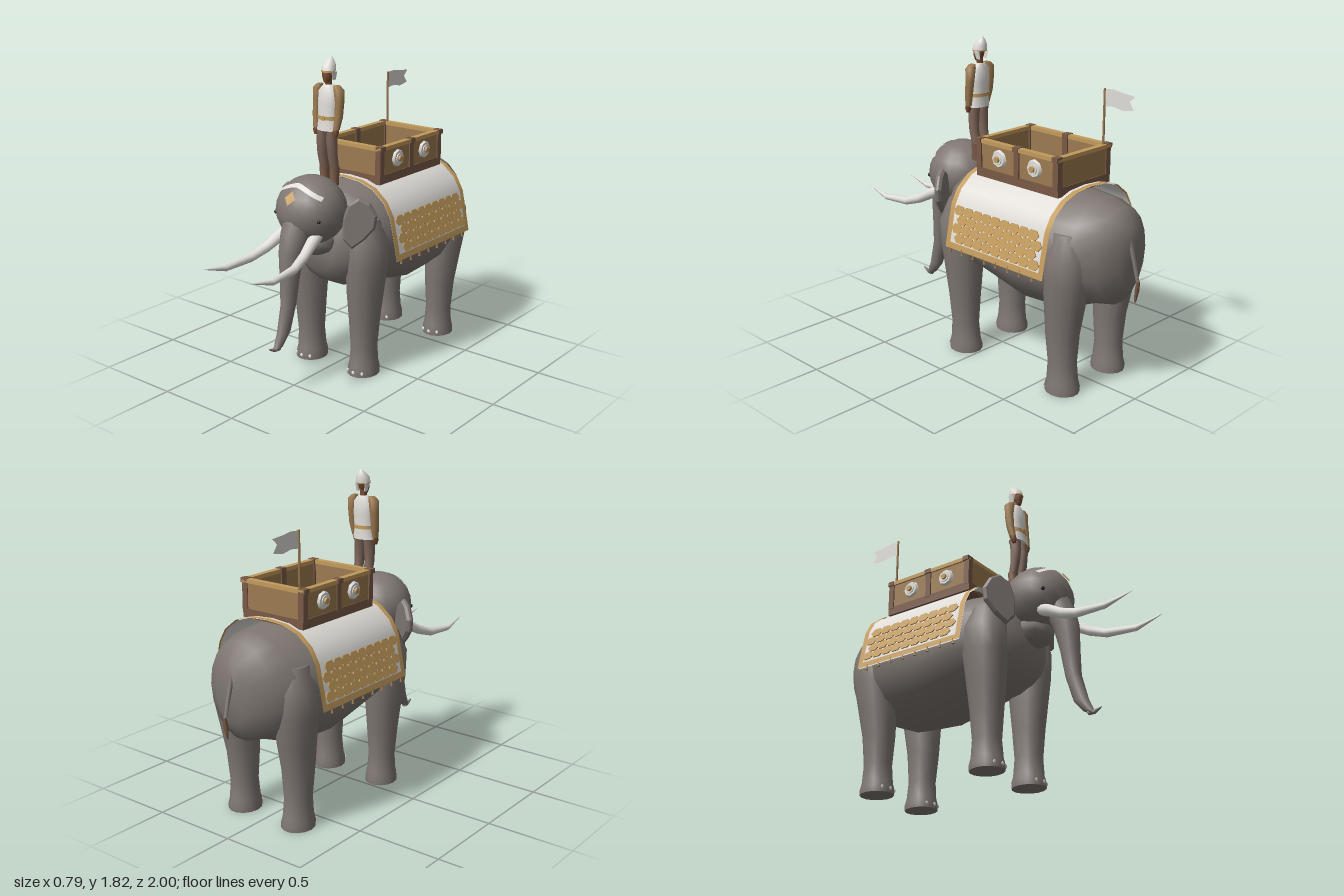
import * as THREE from 'three';
import { toCreasedNormals } from 'three/addons/utils/BufferGeometryUtils.js';

const paint = (name, color, side = THREE.FrontSide) => {
  const m = new THREE.MeshStandardMaterial({ color, side });
  m.name = name;
  return m;
};

export function createModel() {
  const hide = paint('grey hide', 0x7f7772), white = paint('white', 0xe0ddd8, THREE.DoubleSide);
  const gold = paint('gold', 0xc39b5c, THREE.DoubleSide), wood = paint('light wood', 0x9c7a50);
  const brown = paint('dark wood', 0x7a5a47), cloth = paint('trouser cloth', 0x7d6559);
  const skin = paint('rider skin', 0x75492f), dark = paint('eye', 0x2a2523);
  const model = new THREE.Group();
  model.name = 'elephantWithRider';
  const group = (name, parent = model) => {
    const g = new THREE.Group();
    g.name = name;
    parent.add(g);
    return g;
  };
  const add = (name, geo, mat, pos = [0, 0, 0], parent = model) => {
    const m = new THREE.Mesh(geo, mat);
    m.name = name;
    m.position.set(...pos);
    parent.add(m);
    return m;
  };
  const build = (verts, faces) => {
    const g = new THREE.BufferGeometry();
    g.setAttribute('position', new THREE.Float32BufferAttribute(verts.flat(), 3));
    g.setIndex(faces);
    g.computeVertexNormals();
    return g;
  };
  // Closed skin over elliptical rings [x, y, z, ra, rb], ascending along axis 'y' or 'z'
  const loft = (axis, rings, n = 14) => {
    const v = [], f = [];
    rings.forEach(([x, y, z, a, b = a]) => {
      for (let j = 0; j < n; j++) {
        const t = (j / n) * Math.PI * 2, c = a * Math.cos(t), s = b * Math.sin(t);
        v.push(axis === 'z' ? [x + c, y + s, z] : [x + c, y, z - s]);
      }
    });
    const end = rings.length - 1, c0 = v.length;
    v.push(rings[0].slice(0, 3), rings[end].slice(0, 3));
    for (let j = 0; j < n; j++) {
      const k = (j + 1) % n;
      for (let i = 0; i < end; i++) {
        const a = i * n + j, b = i * n + k;
        f.push(a, b, a + n, b, b + n, a + n);
      }
      f.push(c0, k, j, c0 + 1, end * n + j, end * n + k);
    }
    return toCreasedNormals(build(v, f), 1.0);
  };
  // Ribbon between two rows of points
  const strip = (a, b) => {
    const f = [], n = a.length;
    for (let i = 0; i < n - 1; i++) f.push(n + i, n + i + 1, i, n + i + 1, i + 1, i);
    return build([...a, ...b], f);
  };
  const box = (w, h, d) => new THREE.BoxGeometry(w, h, d);
  const ball = (r) => new THREE.SphereGeometry(r, 10, 8);
  const both = (fn) => [1, -1].forEach(fn);

  // Body
  add('body', loft('z', [
    [0, .8, -.94, .1, .17], [0, .79, -.87, .21, .27], [0, .79, -.75, .29, .295], [0, .76, -.58, .335, .335],
    [0, .76, -.34, .34, .35], [0, .79, -.02, .325, .305], [0, .79, .12, .3, .29],
    [0, .8, .22, .23, .25], [0, .75, .29, .12, .12]], 18), hide);

  // Legs and toenails
  both((s) => {
    [['frontLeg', .11, 0], ['backLeg', -.65, -.03]].forEach(([name, z, lean]) => {
      add(name, loft('y', [
        [s * .195, 0, z, .09, .1], [s * .195, .03, z, .09, .102], [s * .195, .07, z, .082, .09],
        [s * .197, .17, z, .076, .082], [s * .2, .34, z, .088, .097],
        [s * .205, .5, z + lean / 2, .103, .115], [s * .215, .66, z + lean, .115, .13],
        [s * .22, .8, z + lean, .115, .135], [s * .2, .93, z + lean, .08, .09]]), hide);
      [-.05, 0, .05].forEach((dx) => {
        const nail = add('toenail', ball(.011), white,
          [s * .195 + dx, .025, z + .1 * Math.sqrt(1 - (dx / .09) ** 2)]);
        nail.scale.z = .45;
      });
    });
  });

  // Head, jaw and trunk
  const head = add('head', new THREE.SphereGeometry(1, 18, 12), hide, [0, 1, .33]);
  head.scale.set(.2, .192, .195);
  add('jaw', ball(1), hide, [0, .82, .29]).scale.set(.12, .09, .12);
  add('trunk', loft('y', [
    [0, .265, .645, .014, .018], [0, .285, .62, .023, .03], [0, .35, .578, .032, .043],
    [0, .5, .535, .042, .046], [0, .65, .52, .055, .056], [0, .8, .5, .07, .075],
    [0, .9, .46, .085, .09], [0, 1.02, .41, .09, .09]]), hide);
  add('trunkFinger', loft('z', [[0, .275, .62, .018], [0, .27, .655, .012], [0, .287, .695, .004]], 8), hide);

  // Tusks, ears and eyes
  both((s) => {
    add('tusk', loft('z', [
      [s * .1, .895, .39, .035], [s * .115, .86, .47, .036], [s * .135, .81, .56, .03],
      [s * .155, .775, .66, .025], [s * .168, .762, .84, .017], [s * .165, .8, 1, .001]], 10), white);
    const e = [[0, .02], [.03, .1], [.09, .14], [.15, .11], [.19, .04], [.18, -.03], [.12, -.1], [.05, -.155], [0, -.1]];
    const shape = new THREE.Shape(e.map(([x, y]) => new THREE.Vector2(s * x, y)));
    const ear = add('ear', new THREE.ExtrudeGeometry(shape,
      { depth: .012, bevelThickness: .014, bevelSize: .012, bevelOffset: -.012, bevelSegments: 1 }), hide,
    [s * .175, .95, .275]);
    ear.rotation.y = s * .55;
    add('eye', ball(.011), dark, [s * .153, .985, .452]);
  });

  // Forehead ornaments lying on the head
  const onHead = (x, y) => [x, y, .336 + .195 * Math.sqrt(Math.max(0, 1 - (x / .2) ** 2 - ((y - 1) / .192) ** 2))];
  const us = Array.from({ length: 13 }, (_, i) => i / 6 - 1);
  const band = (d) => us.map((u) => onHead(.15 * u, 1.16 - .06 * Math.abs(u) ** 1.5 + d));
  add('browBand', strip(band(.009), band(-.009)), white);
  const jewel = add('browJewel', new THREE.CircleGeometry(.042, 4), gold, [0, 1.1, .508]);
  jewel.rotation.x = -.58;
  jewel.scale.x = .85;

  // Tail
  add('tail', loft('y', [[0, .66, -.99, .009], [0, .78, -.96, .012], [0, .9, -.925, .016]], 8), hide);
  add('tailTuft', loft('y', [[0, .56, -.975, .006], [0, .63, -.985, .013], [0, .68, -.99, .01]], 8), brown);

  // Saddle cloth with gold edging
  const saddle = group('saddleCloth');
  const half = [[0, 1.125], [.12, 1.116], [.21, 1.085], [.29, 1.02], [.335, .94], [.365, .8], [.385, .7]];
  const full = [...half.slice(1).reverse().map(([x, y]) => [-x, y]), ...half];
  const drape = (name, pts, z0, z1, lift, mat) => {
    const row = (z) => pts.map(([x, y]) => [x + Math.sign(x) * lift, y + lift, z]);
    add(name, strip(row(z0), row(z1)), mat, [0, 0, 0], saddle);
  };
  drape('cloth', full, -.66, .06, 0, white);
  drape('backEdging', full, -.668, -.635, .004, gold);
  drape('frontEdging', full, .03, .063, .004, gold);
  both((s) => {
    const hem = [[.38, .732], [.387, .698]].map(([x, y]) => [s * x, y]);
    drape('hemEdging', s > 0 ? hem : hem.reverse(), -.66, .06, .004, gold);
    // Overlapping hexagonal scales
    for (let r = 0; r < 4; r++) {
      const y = .92 - r * .05;
      for (let i = 0; i < 9; i++) {
        const scale = add('scale', new THREE.CylinderGeometry(.042, .042, .006, 6), gold,
          [s * (.35 + (.92 - y) * .215), y, -.015 - i * .069 - (r % 2) * .03], saddle);
        scale.rotation.z = -s * (Math.PI / 2 - .3);
        scale.scale.x = .72;
      }
    }
    for (let i = 0; i < 8; i++) {
      const tassel = add('tassel', new THREE.ConeGeometry(.008, .04, 6), wood, [s * .389, .7, .02 - i * .088], saddle);
      tassel.rotation.x = i % 2 ? .1 : -.1;
    }
  });

  // Open carriage box
  const howdah = group('carriage');
  const cz = -.31;
  add('plinth', box(.42, .05, .6), brown, [0, 1.12, cz], howdah);
  const diamond = add('floorDiamond', new THREE.CircleGeometry(.125, 4), white, [0, 1.149, cz + .03], howdah);
  diamond.rotation.x = -Math.PI / 2;
  diamond.scale.x = .3;
  both((s) => {
    add('sidePanel', box(.02, .15, .57), wood, [s * .195, 1.215, cz], howdah);
    add('endPanel', box(.38, .15, .02), wood, [0, 1.215, cz + s * .285], howdah);
    add('sideRail', box(.034, .022, .6), gold, [s * .2, 1.298, cz], howdah);
    add('endRail', box(.43, .022, .034), gold, [0, 1.298, cz + s * .285], howdah);
    [-1, 0, 1].forEach((k) => {
      add('post', box(.036, .17, .036), brown, [s * .195, 1.22, cz + k * .282], howdah);
      add('postCap', box(.044, .026, .04), brown, [s * .2, 1.299, cz + k * .282], howdah);
    });
    [-.18, -.44].forEach((z) => {
      [['medallion', .052, .014, white, .212], ['medallionRing', .034, .02, white, .214], ['medallionBoss', .02, .036, gold, .218]]
        .forEach(([name, r, h, mat, x]) => {
          add(name, new THREE.CylinderGeometry(r * .85, r, h, 8), mat, [s * x, 1.22, z], howdah).rotation.z = -s * Math.PI / 2;
        });
    });
  });

  // Pennant
  add('flagPole', new THREE.CylinderGeometry(.006, .007, .46, 8), wood, [-.172, 1.385, -.59], howdah);
  const flag = new THREE.Shape([[0, .0], [.06, .004], [.12, -.005], [.2, -.012], [.165, -.045], [.195, -.088],
    [.12, -.1], [.06, -.088], [0, -.094]].map(([x, y]) => new THREE.Vector2(x, y)));
  add('flag', new THREE.ShapeGeometry(flag), white, [-.172, 1.612, -.593], howdah).rotation.y = Math.PI / 2;

  // Rider
  const rider = group('rider');
  const part = (name, rings, mat, n = 10) => add(name, loft('y', rings, n), mat, [0, 0, 0], rider);
  both((s) => {
    part('boot', [[s * .035, 1.11, .18, .026, .03], [s * .035, 1.15, .176, .026, .027], [s * .035, 1.21, .174, .029, .03]], brown);
    part('trouserLeg', [[s * .035, 1.2, .174, .026, .026], [s * .036, 1.28, .192, .028, .028],
      [s * .034, 1.36, .196, .031, .033], [s * .033, 1.44, .188, .03, .035]], cloth);
    part('sleeve', [[s * .07, 1.43, .2, .018, .02], [s * .078, 1.5, .188, .022, .024], [s * .077, 1.58, .18, .025, .027],
      [s * .072, 1.645, .18, .03, .03], [s * .06, 1.668, .18, .018, .02]], wood);
    part('hand', [[s * .068, 1.39, .207, .01], [s * .068, 1.415, .204, .019], [s * .07, 1.44, .2, .015]], skin);
    part('helmetFlap', [[s * .027, 1.695, .165, .006, .014], [s * .033, 1.74, .17, .008, .024]], white, 8);
  });
  part('tunic', [[0, 1.42, .188, .07, .046], [0, 1.48, .186, .06, .04], [0, 1.56, .183, .064, .042],
    [0, 1.635, .18, .062, .04], [0, 1.67, .178, .03, .026]], white, 14);
  part('belt', [[0, 1.48, .186, .064, .044], [0, 1.5, .186, .064, .044]], gold, 14);
  add('buckle', new THREE.CylinderGeometry(.014, .014, .008, 8), gold, [0, 1.49, .23], rider).rotation.x = Math.PI / 2;
  part('neck', [[0, 1.65, .178, .02], [0, 1.7, .18, .019]], skin);
  part('face', [[0, 1.682, .196, .014, .016], [0, 1.71, .187, .027, .032], [0, 1.745, .182, .031, .036], [0, 1.765, .18, .028, .03]], skin);
  part('helmetBrim', [[0, 1.738, .181, .039, .042], [0, 1.748, .18, .039, .042]], gold, 12);
  part('helmet', [[0, 1.744, .179, .04, .043], [0, 1.775, .174, .037, .04], [0, 1.8, .164, .021, .023], [0, 1.82, .157, .005]], white, 12);
  return model;
}
